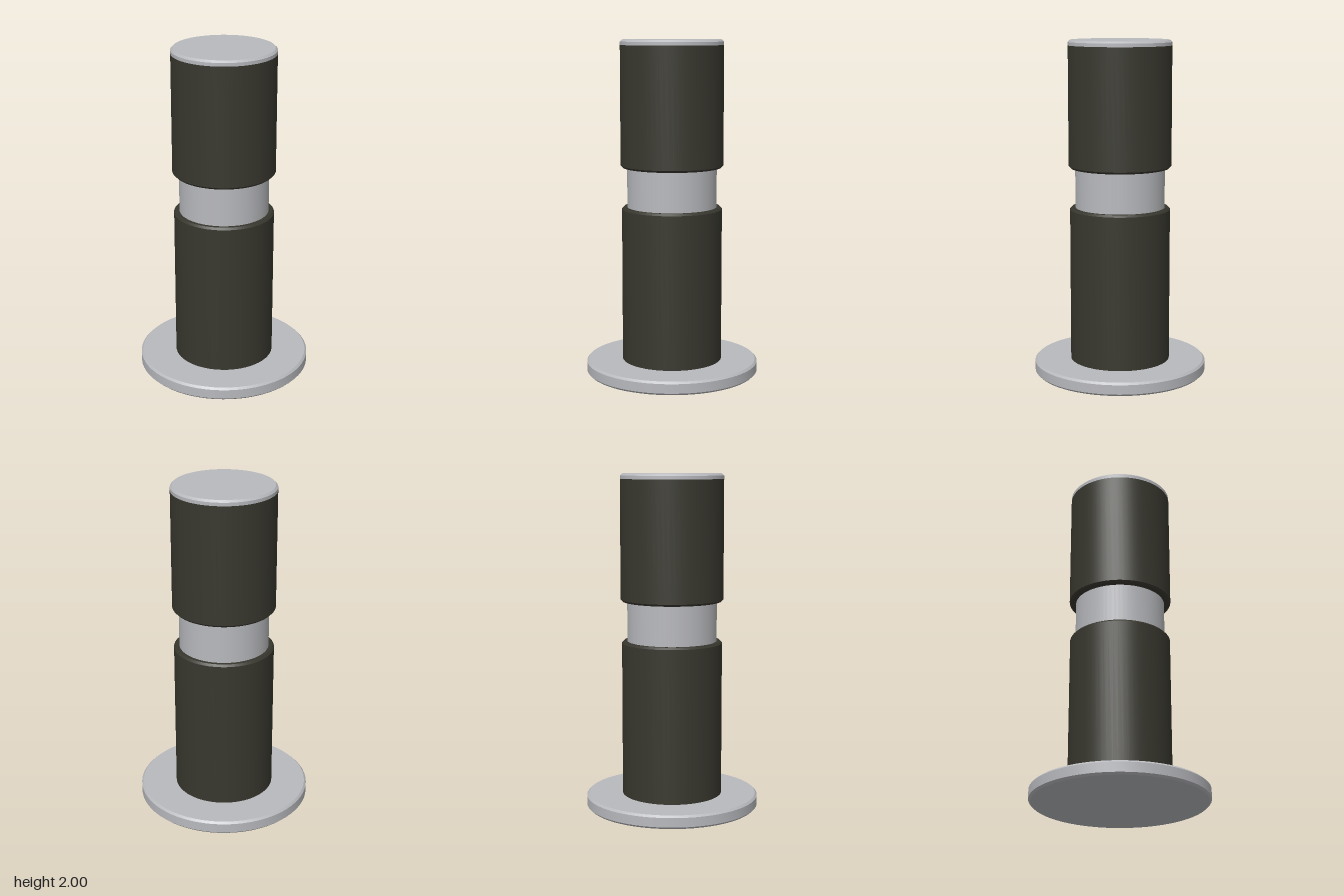
import * as THREE from 'three';
import { toCreasedNormals } from 'three/addons/utils/BufferGeometryUtils.js';

const metal = new THREE.MeshStandardMaterial({ name: 'light grey metal', color: 0xb8b9bd });
const rubber = new THREE.MeshStandardMaterial({ name: 'dark olive rubber', color: 0x38372e });

// Solid disc or cylinder with chamfered rims
function turned(name, material, radius, bottom, top, bevelBottom, bevelTop) {
  const profile = [
    [0, bottom],
    [radius - bevelBottom, bottom],
    ...(bevelBottom ? [[radius, bottom + bevelBottom]] : []),
    ...(bevelTop ? [[radius, top - bevelTop]] : []),
    [radius - bevelTop, top],
    [0, top],
  ].map(([x, y]) => new THREE.Vector2(x, y));
  const geometry = toCreasedNormals(new THREE.LatheGeometry(profile, 64), 0.5);
  const mesh = new THREE.Mesh(geometry, material);
  mesh.name = name;
  return mesh;
}

export function createModel() {
  const model = new THREE.Group();
  model.name = 'peg';
  model.add(
    // Foot plate
    turned('basePlate', metal, 0.517, 0, 0.08, 0.012, 0.012),
    // Inner shaft, visible between the two grips
    turned('shaft', metal, 0.267, 0.07, 1.9, 0, 0),
    // Grips
    turned('lowerGrip', rubber, 0.299, 0.075, 1.01, 0, 0.012),
    turned('upperGrip', rubber, 0.306, 1.248, 1.968, 0.012, 0),
    // End cap
    turned('topCap', metal, 0.306, 1.968, 2, 0, 0.012),
  );
  return model;
}
